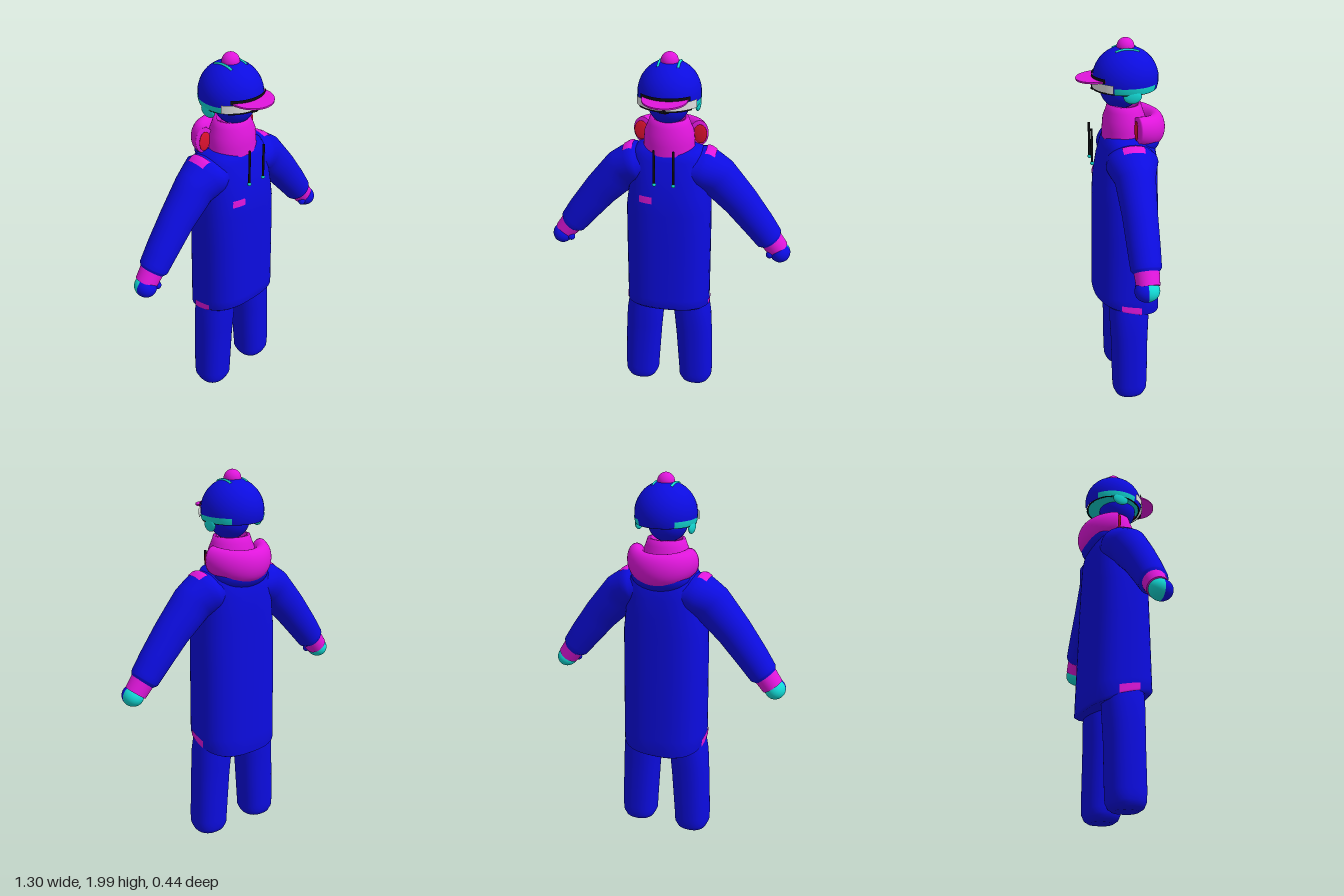
import * as THREE from 'three';
import { mergeVertices } from 'three/addons/utils/BufferGeometryUtils.js';

const material = (name, color, side = THREE.FrontSide) =>
  Object.assign(new THREE.MeshStandardMaterial({ color, side }), { name });

// Linear lookup between the rows of a small section table
function row(table, u) {
  const i = Math.min(Math.floor(u), table.length - 2), f = u - i;
  return table[i].map((v, k) => v + (table[i + 1][k] - v) * f);
}

// Smooth surface from f(u, t) -> [x, y, z]
function surface(f, u0, u1, nu, t0 = 0, t1 = Math.PI * 2, nt = 48) {
  const pos = [], idx = [], w = nt + 1;
  for (let i = 0; i <= nu; i++)
    for (let j = 0; j <= nt; j++) pos.push(...f(u0 + (u1 - u0) * i / nu, t0 + (t1 - t0) * j / nt));
  for (let i = 0; i < nu; i++)
    for (let j = 0; j < nt; j++) {
      const a = i * w + j, c = a + w;
      idx.push(a, c, a + 1, a + 1, c, c + 1);
    }
  let g = new THREE.BufferGeometry();
  g.setAttribute('position', new THREE.Float32BufferAttribute(pos, 3));
  g.setIndex(idx);
  g = mergeVertices(g, 1e-5);
  g.computeVertexNormals();
  return g;
}

const sgnPow = (v, p) => Math.sign(v) * Math.abs(v) ** p;

// Coat sections: y, half width, front z, back z, hem slope
const COAT = [
  [0.575, 0, -0.025, -0.025, 1], [0.565, 0.208, 0.14, -0.19, 1], [0.58, 0.226, 0.157, -0.205, 1],
  [0.65, 0.226, 0.156, -0.203, 0.6], [1.0, 0.223, 0.15, -0.192, 0], [1.2, 0.22, 0.146, -0.187, 0],
  [1.3, 0.207, 0.14, -0.185, 0], [1.4, 0.198, 0.122, -0.18, 0], [1.48, 0.19, 0.1, -0.165, 0],
  [1.52, 0.165, 0.085, -0.14, 0], [1.537, 0.12, 0.06, -0.1, 0], [1.54, 0, -0.02, -0.02, 0],
];
const coatAt = (grow) => (u, t) => {
  const [y, hx, zf, zb, slope] = row(COAT, u);
  const x = (hx + grow) * sgnPow(Math.cos(t), 0.77);
  const z = (zf + zb) / 2 + ((zf - zb) / 2 + grow) * sgnPow(Math.sin(t), 0.77);
  return [x, y + slope * 0.29 * (z + 0.02), z];
};

// Sleeve sections: x, y, radius across, radius in z, slope in degrees
const SLEEVE = [
  [0.1, 1.42, 0, 0, -5], [0.1, 1.42, 0.09, 0.12, -5], [0.17, 1.415, 0.11, 0.13, -20],
  [0.25, 1.365, 0.106, 0.1, -42], [0.37, 1.235, 0.093, 0.086, -51], [0.47, 1.11, 0.083, 0.08, -52],
  [0.53, 1.03, 0.075, 0.075, -52], [0.546, 1.01, 0.056, 0.056, -52], [0.546, 1.01, 0, 0, -52],
];
const sleeveAt = (s, grow) => (u, t) => {
  const [x, y, rn, rz, deg] = row(SLEEVE, u);
  const a = deg * Math.PI / 180, n = (rn + (rn && grow)) * Math.cos(t);
  return [s * x + Math.sin(a) * n, y - s * Math.cos(a) * n, -0.03 + (rz + (rz && grow)) * Math.sin(t)];
};

// Trouser leg sections: y, centre x, half width, half depth
const LEG = [
  [0.008, 0.16, 0, 0], [0.008, 0.16, 0.062, 0.062], [0.022, 0.16, 0.083, 0.083], [0.05, 0.16, 0.096, 0.095],
  [0.1, 0.16, 0.098, 0.098], [0.35, 0.147, 0.102, 0.1], [0.5, 0.136, 0.104, 0.106], [0.62, 0.125, 0.095, 0.105],
];
const legAt = (s) => (u, t) => {
  const [y, cx, hx, hz] = row(LEG, u);
  return [s * cx + hx * sgnPow(Math.cos(t), 0.85), y, -0.023 + hz * sgnPow(Math.sin(t), 0.85)];
};

// Folded hood: a thick half ring round the back of the neck
function hoodAt(u, t) {
  const k = Math.max(0, Math.min(1, u / 0.02, (1 - u) / 0.02));
  const a = (THREE.MathUtils.clamp((u - 0.02) / 0.96, 0, 1) * 2 - 1) * 1.37;
  const r = 0.146 + 0.048 * k * Math.cos(t), c = Math.cos(a);
  return [r * Math.sin(a), 1.588 - 0.035 * c - (0.065 + 0.015 * c) * k * Math.sin(t), -0.03 - r * c];
}

export function createModel() {
  const model = new THREE.Group();
  const blue = material('blue', 0x0c0ce0);
  const magenta = material('magenta', 0xe016dc, THREE.DoubleSide);
  const cyan = material('cyan', 0x12d8d4, THREE.DoubleSide);
  const red = material('red', 0xe01230);
  const black = material('black', 0x0c0c12, THREE.DoubleSide);
  const white = material('white', 0xe2e2e2, THREE.DoubleSide);

  const add = (name, geometry, mat, x = 0, y = 0, z = 0) => {
    const m = new THREE.Mesh(geometry, mat);
    m.name = name;
    m.position.set(x, y, z);
    model.add(m);
    return m;
  };
  const ball = (rx, ry = rx, rz = rx, ...arc) => new THREE.SphereGeometry(1, 32, 20, ...arc).scale(rx, ry, rz);
  const PI = Math.PI;

  // Coat and its chest patch
  add('coat', surface(coatAt(0), 0, 11, 11), blue);
  add('chestPatch', surface(coatAt(0.004), 5.68, 6.05, 4, 1.78, 2.13, 8), magenta);

  // Collar and folded hood
  const collar = [[0.13, 1.51], [0.128, 1.56], [0.123, 1.61], [0.106, 1.65], [0.096, 1.68], [0.08, 1.68], [0.08, 1.63]]
    .map(([r, y]) => new THREE.Vector2(r, y));
  add('collar', new THREE.LatheGeometry(collar, 40).scale(1, 1, 0.87), magenta, 0, 0, -0.018);
  add('hood', surface(hoodAt, 0, 1, 50, 0, PI * 2, 28), magenta);
  add('hoodBase', ball(0.155, 0.085, 0.1), blue, 0, 1.505, -0.1);

  // Head, helmet and bobble
  add('maskedHead', ball(0.102), blue, 0, 1.757, 0);
  const helmetY = 1.805, helmetZ = -0.025;
  add('helmet', ball(0.155, 0.155, 0.162, 0, PI * 2, 0, 1.87), blue, 0, helmetY, helmetZ);
  add('helmetLining', new THREE.CircleGeometry(0.146, 40).rotateX(PI / 2), cyan, 0, 1.761, helmetZ);
  add('helmetRim', new THREE.TorusGeometry(0.148, 0.004, 8, 48).rotateX(PI / 2), black, 0, 1.76, helmetZ);
  add('bobble', ball(0.043), magenta, 0, 1.957, helmetZ);

  // Peak
  add('peak', new THREE.CylinderGeometry(0.11, 0.11, 0.008, 40), magenta, 0, 1.815, 0.11).rotation.x = 0.05;

  // Goggles: curved lens with dark edges
  const band = (r, h, half) => new THREE.CylinderGeometry(r, r, h, 32, 1, true, -half, half * 2);
  add('goggleLens', band(0.166, 0.042, 1.05), white, 0, 1.787, helmetZ);
  add('goggleTop', band(0.167, 0.022, 0.78), black, 0, 1.822, helmetZ);
  add('goggleBottom', band(0.167, 0.008, 0.85), black, 0, 1.766, helmetZ);
  add('goggleBridge', new THREE.ConeGeometry(0.03, 0.02, 3).scale(1, 1, 0.2), black, 0, 1.768, 0.142);
  add('nose', ball(0.012), red, 0, 1.75, 0.1);

  for (const s of [1, -1]) {
    const side = s > 0 ? 'left' : 'right';

    // Helmet trim and ear flap
    add(side + 'EarBand', ball(0.157, 0.157, 0.164, s > 0 ? PI - 0.5 : -0.93, 1.43, 1.665, 0.2), cyan, 0, helmetY, helmetZ);
    add(side + 'EarFlap', ball(0.014, 0.036, 0.045), cyan, s * 0.139, 1.75, -0.035);
    add(side + 'CrownStripe', new THREE.TorusGeometry(0.147, 0.0065, 8, 16, 0.8).rotateZ(PI / 2 - 0.4).rotateY(PI / 2),
      cyan, s * 0.048, helmetY, helmetZ);

    // Hood opening and drawstring
    add(side + 'HoodInside', ball(0.034, 0.05, 0.006), red, s * 0.15, 1.582, -0.052);
    add(side + 'Drawstring', new THREE.CylinderGeometry(0.006, 0.006, 0.178, 12), black, s * 0.048, 1.481, 0.153);
    add(side + 'DrawstringTip', ball(0.01), cyan, s * 0.048, 1.387, 0.153);

    // Sleeve, shoulder patch and cuff
    add(side + 'Sleeve', surface(sleeveAt(s, 0), 0, 8, 32), blue);
    const top = s > 0 ? PI : 0;
    add(side + 'ShoulderPatch', surface(sleeveAt(s, 0.004), 1.8, 2.25, 4, top - 0.43, top + 0.43, 10), magenta);
    add(side + 'Cuff', new THREE.CylinderGeometry(0.062, 0.057, 0.075, 32), magenta, s * 0.56, 0.995, -0.03)
      .rotation.z = s * 0.66;

    // Mitten: front and palm halves with a thumb
    add(side + 'MittenFront', ball(0.054, 0.054, 0.06, 0, PI), blue, s * 0.595, 0.95, -0.022);
    add(side + 'MittenBack', ball(0.054, 0.054, 0.062, PI, PI), cyan, s * 0.595, 0.95, -0.022);
    add(side + 'Thumb', ball(0.02), blue, s * 0.542, 0.944, 0.005);

    // Trouser leg and hip patch
    add(side + 'TrouserLeg', surface(legAt(s), 0, 7, 14), blue);
    const hip = s > 0 ? 0 : PI;
    add(side + 'HipPatch', surface(coatAt(0.004), 1.85, 2.55, 6, hip - 0.21, hip + 0.21, 8), magenta);
  }
  return model;
}
